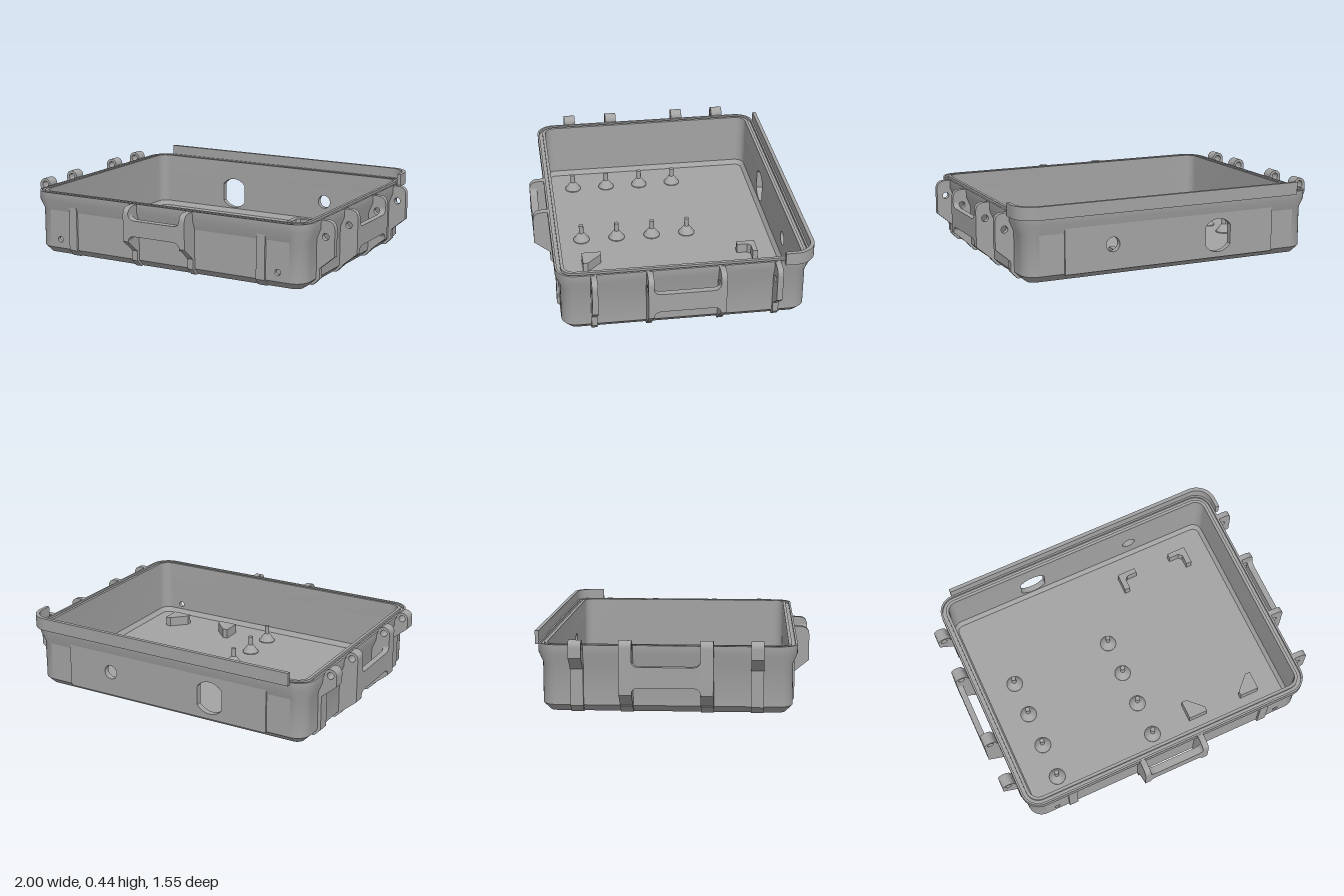
import * as THREE from 'three';
import { toCreasedNormals } from 'three/addons/utils/BufferGeometryUtils.js';

const HX = 0.917, HZ = 0.72, CZ = -0.035, R = 0.11, N = 8;
const grey = new THREE.MeshStandardMaterial({ color: 0xa3a3a3 });
grey.name = 'grey plastic';

function mesh(name, geo, parent) {
  const m = new THREE.Mesh(toCreasedNormals(geo, 0.6), grey);
  m.name = name;
  parent.add(m);
  return m;
}
const extrude = (shape, depth) =>
  new THREE.ExtrudeGeometry(shape, { depth, bevelEnabled: false, curveSegments: 12 });
const poly = (pts) => new THREE.Shape(pts.map(([x, y]) => new THREE.Vector2(x, y)));
const circle = (x, y, r) => new THREE.Path().absarc(x, y, r, 0, Math.PI * 2, true);
// plan shape (x, z) raised along y
const raise = (pts, h) => extrude(poly(pts.map(([x, z]) => [x, -z])), h).rotateX(-Math.PI / 2);

// rounded-rectangle ring, inset by d at height y
function ring(d, y) {
  const out = [], r = R - d;
  [[1, 1], [-1, 1], [-1, -1], [1, -1]].forEach(([sx, sz], k) => {
    for (let i = 0; i <= N; i++) {
      const a = (k + i / N) * Math.PI / 2;
      out.push([sx * (HX - R) + r * Math.cos(a), y, CZ + sz * (HZ - R) + r * Math.sin(a)]);
    }
  });
  return out;
}

// hollow tray: outer skin, grooved rim, inner skin, floor; front and back windows stay open
function trayGeometry() {
  const rings = [[0.065, 0], [0.025, 0.04], [0.025, 0.27], [0, 0.33], [0, 0.38], [0.012, 0.38],
    [0.012, 0.365], [0.032, 0.365], [0.032, 0.38], [0.05, 0.38], [0.05, 0.27], [0.05, 0.06],
    [0.07, 0.032]].map(([d, y]) => ring(d, y));
  const pos = [], tri = (...p) => p.forEach((q) => pos.push(...q));
  const count = rings[0].length;
  for (let k = 0; k < rings.length - 1; k++) {
    const A = rings[k], B = rings[k + 1];
    for (let i = 0; i < count; i++) {
      if ((k === 1 || k === 10) && (i === N || i === 3 * N + 2)) continue;
      const j = (i + 1) % count;
      tri(A[i], B[i], A[j]);
      tri(B[i], B[j], A[j]);
    }
  }
  const bottom = rings[0], floor = rings[rings.length - 1];
  for (let i = 0; i < count; i++) {
    const j = (i + 1) % count;
    tri([0, 0, CZ], bottom[i], bottom[j]);
    tri(floor[i], [0, 0.032, CZ], floor[j]);
  }
  const g = new THREE.BufferGeometry();
  g.setAttribute('position', new THREE.Float32BufferAttribute(pos, 3));
  return g;
}

function wall(hw, y0, y1, holes) {
  const s = poly([[-hw, y0], [hw, y0], [hw, y1], [-hw, y1]]);
  s.holes.push(...holes);
  return s;
}

// round port with flattened sides
function flatSidedPort(x, y, r, half) {
  const p = new THREE.Path(), a = Math.acos(half / r);
  p.absarc(x, y, r, a, Math.PI - a, false);
  p.absarc(x, y, r, Math.PI + a, Math.PI * 2 - a, false);
  p.closePath();
  return p;
}

// bracket profile: u outward, y up
function bracketShape(face, out, low, type) {
  const s = poly([[face - 0.05, 0], [face - 0.02, 0], [face + 0.02, 0.04],
    [face + 0.02, low], [out, low + 0.075]]);
  if (type === 'ring') {
    s.lineTo(out, 0.38);
    s.absarc(out - 0.037, 0.38, 0.037, 0, Math.PI, false);
    s.lineTo(face + 0.02, 0.35);
    s.holes.push(circle(out - 0.037, 0.38, 0.02));
  } else {
    s.lineTo(out, 0.325);
    s.quadraticCurveTo(out, 0.378, out - 0.055, 0.378);
    s.lineTo(face + 0.02, 0.378);
    if (type === 'ear') s.holes.push(circle(out - 0.055, 0.285, 0.02));
  }
  s.lineTo(face - 0.01, 0.27);
  s.lineTo(face - 0.01, 0.05);
  return s;
}

function addBracket(parent, name, shape, x, w) {
  mesh(name, extrude(shape, w).rotateY(-Math.PI / 2).translate(x + w / 2, 0, 0), parent);
}

// grip plate with filleted corners running into its uprights
function addGrip(parent, x, a, b0, b1, out, depth) {
  const r = 0.045, s = new THREE.Shape();
  s.moveTo(-a, b0 - r);
  s.quadraticCurveTo(-a, b0, -a + r, b0);
  s.lineTo(a - r, b0);
  s.quadraticCurveTo(a, b0, a, b0 - r);
  s.lineTo(a, b1 + r);
  s.quadraticCurveTo(a, b1, a - r, b1);
  s.lineTo(-a + r, b1);
  s.quadraticCurveTo(-a, b1, -a, b1 + r);
  mesh('handleGrip', extrude(s, depth).translate(x, 0, out - depth), parent);
}

function addGroup(parent, name, rot) {
  const g = new THREE.Group();
  g.name = name;
  g.rotation.y = rot;
  parent.add(g);
  return g;
}

export function createModel() {
  const model = new THREE.Group();
  model.name = 'equipmentTray';
  mesh('tray', trayGeometry(), model);

  // front wall with two drain holes, back wall with two cable ports
  const drains = [-1, 1].map((s) => circle(s * 0.736, 0.093, 0.018));
  mesh('frontWall', extrude(wall(HX - R, 0.04, 0.27, drains), 0.025).translate(0, 0, CZ + HZ - 0.05), model);
  const ports = () => [circle(0.37, 0.18, 0.042), flatSidedPort(-0.3, 0.165, 0.098, 0.08)];
  mesh('backWall', extrude(wall(HX - R, 0.04, 0.27, ports()), 0.025).translate(0, 0, CZ - HZ + 0.025), model);
  mesh('backPanel', extrude(wall(0.66, 0.035, 0.33, ports()), 0.012).translate(0, 0, CZ - HZ + 0.014), model);

  // rain lip along the back, wrapping one corner
  const lip = new THREE.Shape();
  lip.moveTo(-0.81, 0.753);
  lip.lineTo(0.815, 0.753);
  lip.absarc(0.815, 0.65, 0.103, Math.PI / 2, 0, true);
  lip.lineTo(0.918, 0.59);
  lip.lineTo(0.94, 0.59);
  lip.lineTo(0.94, 0.65);
  lip.absarc(0.815, 0.65, 0.125, 0, Math.PI / 2, false);
  lip.lineTo(-0.81, 0.775);
  mesh('backLip', extrude(lip, 0.075).rotateX(-Math.PI / 2).translate(0, 0.365, 0), model);

  // front handle and ribs
  const front = addGroup(model, 'frontHandle', 0);
  for (const s of [-1, 1]) {
    addBracket(front, 'handleUpright', bracketShape(0.66, 0.773, 0.1, 'plain'), s * 0.188, 0.036);
    const rib = poly([[0.61, 0], [0.633, 0], [0.673, 0.04], [0.673, 0.32], [0.65, 0.32], [0.65, 0.05]]);
    addBracket(model, 'frontRib', rib, s * 0.634, 0.055);
  }
  addGrip(front, 0, 0.172, 0.21, 0.303, 0.773, 0.045);

  // left side: pierced ears and handle
  const left = addGroup(model, 'leftLatches', Math.PI / 2);
  for (const [z, low] of [[-0.55, 0.1], [-0.235, 0.045], [0.17, 0.045], [0.48, 0.1]])
    addBracket(left, 'latchEar', bracketShape(0.892, 1, low, 'ear'), -z, 0.033);
  addGrip(left, 0.032, 0.188, 0.16, 0.275, 1, 0.035);

  // right side: hinge knuckles and handle
  const right = addGroup(model, 'rightHinges', -Math.PI / 2);
  for (const [z, low] of [[-0.53, 0.245], [-0.255, 0.045], [0.19, 0.045], [0.465, 0.245]])
    addBracket(right, 'hingeKnuckle', bracketShape(0.892, 1, low, 'ring'), z, 0.071);
  addGrip(right, -0.033, 0.19, 0.16, 0.275, 1, 0.035);

  // standoffs on the floor
  const standoff = [[0.05, 0], [0.05, 0.006], [0.018, 0.05], [0.014, 0.052], [0.014, 0.105], [0, 0.105]]
    .map(([x, y]) => new THREE.Vector2(x, y));
  for (const x of [-0.66, -0.015])
    for (const z of [-0.185, 0.035, 0.255, 0.475])
      mesh('standoff', new THREE.LatheGeometry(standoff, 20).translate(x, 0.031, z), model);

  // corner holders, mirrored about x = 0.465
  const backHolder = [[0, 0], [0.118, 0], [0.118, 0.03], [0.055, 0.03], [0.035, 0.05], [0.035, 0.112], [0, 0.112]];
  const frontHolder = [[0, 0], [0.032, 0], [0.118, 0.086], [0.118, 0.115], [0, 0.115]];
  for (const s of [-1, 1]) {
    const place = (pts, z0) => pts.map(([x, z]) => [0.465 + s * (0.236 - x), z0 + z]);
    mesh('backCornerHolder', raise(place(backHolder, -0.565), 0.06).translate(0, 0.031, 0), model);
    mesh('frontCornerHolder', raise(place(frontHolder, 0.38), 0.06).translate(0, 0.031, 0), model);
  }
  return model;
}
